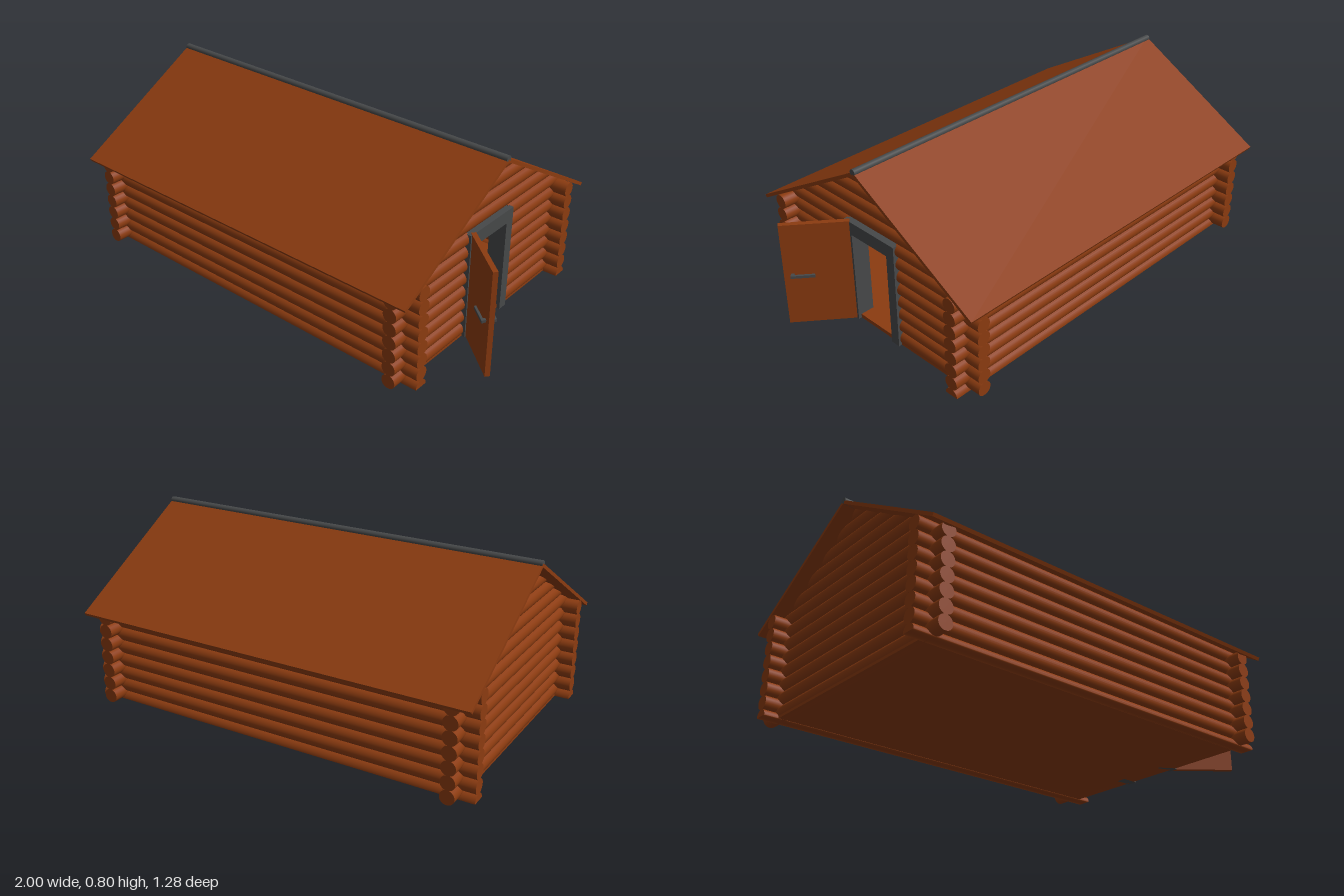
import * as THREE from 'three';

const wood = new THREE.MeshStandardMaterial({ color: 0x8b3b10 });
wood.name = 'wood';
const iron = new THREE.MeshStandardMaterial({ color: 0x464849 });
iron.name = 'darkGrey';

const STEP = 0.0617, R = 0.032;            // log spacing and radius
const X0 = -0.91, X1 = 0.74, ZW = 0.52;    // wall centre lines
const TAN = Math.tan(Math.PI / 6), UNDER = 0.77; // roof pitch and underside ridge height

function add(parent, name, geometry, material, x = 0, y = 0, z = 0) {
  const mesh = new THREE.Mesh(geometry, material);
  mesh.name = name;
  mesh.position.set(x, y, z);
  parent.add(mesh);
  return mesh;
}

// Gable log running from z = a to z = b, its ends trimmed to the roof slope
function gableLog(parent, x, y, a, b) {
  const g = new THREE.CylinderGeometry(R, R, 2, 24).rotateX(Math.PI / 2);
  const p = g.attributes.position;
  for (let i = 0; i < p.count; i++) {
    const vy = Math.min(y + p.getY(i), UNDER);
    const limit = (UNDER - vy) / TAN;
    const z = p.getZ(i) > 0 ? b : a;
    p.setXYZ(i, x + p.getX(i), Math.max(vy, 0), THREE.MathUtils.clamp(z, -limit, limit));
  }
  add(parent, 'gableLog', g, wood);
}

// Long wall log; the lowest one is cut flat at the ground
function longLog(parent, y, z) {
  const g = new THREE.CylinderGeometry(R, R, 1.832, 24).rotateZ(Math.PI / 2);
  const p = g.attributes.position;
  for (let i = 0; i < p.count; i++) p.setY(i, Math.max(p.getY(i), -y));
  add(parent, 'longWallLog', g, wood, -0.084, y, z);
}

function buildWalls(parent) {
  const walls = new THREE.Group();
  walls.name = 'logWalls';
  for (const z of [-ZW, ZW]) for (let k = 0; k < 8; k++) longLog(walls, k * STEP, z);
  for (const x of [X0, X1]) {
    for (let k = 0; k < 13; k++) {
      const y = STEP * (k + 0.5);
      const half = k < 7 ? 0.61 : 0.53;
      if (x === X1 && k < 8) {             // leave the doorway open
        gableLog(walls, x, y, -half, -0.145);
        gableLog(walls, x, y, 0.145, half);
      } else gableLog(walls, x, y, -half, half);
    }
  }
  parent.add(walls);
}

function buildRoof(parent) {
  // Chevron cross-section extruded along x
  const s = new THREE.Shape();
  s.moveTo(-0.638, 0.419);
  s.lineTo(0, 0.787);
  s.lineTo(0.638, 0.419);
  s.lineTo(0.631, 0.406);
  s.lineTo(0, UNDER);
  s.lineTo(-0.631, 0.406);
  s.closePath();
  const g = new THREE.ExtrudeGeometry(s, { depth: 1.83, bevelEnabled: false });
  g.rotateY(Math.PI / 2);
  add(parent, 'roof', g, wood, -1, 0, 0);
  const cap = new THREE.CylinderGeometry(0.0145, 0.0145, 1.83, 16).rotateZ(Math.PI / 2);
  add(parent, 'ridgeCap', cap, iron, -0.085, 0.784, 0);
}

function buildDoor(parent) {
  // Frame
  for (const z of [-0.13, 0.13])
    add(parent, 'doorPost', new THREE.BoxGeometry(0.08, 0.488, 0.045), iron, X1, 0.244, z);
  add(parent, 'doorLintel', new THREE.BoxGeometry(0.08, 0.06, 0.215), iron, X1, 0.458, 0);

  // Open leaf swinging about its hinge edge
  const door = new THREE.Group();
  door.name = 'door';
  door.position.set(0.772, 0, 0.125);
  door.rotation.y = -THREE.MathUtils.degToRad(39);
  add(door, 'doorLeaf', new THREE.BoxGeometry(0.285, 0.488, 0.022), wood, 0.1425, 0.246, 0);
  for (const side of [-1, 1]) {
    add(door, 'handle', new THREE.BoxGeometry(0.1, 0.012, 0.01), iron, 0.207, 0.247, side * 0.026);
    add(door, 'handleStem', new THREE.BoxGeometry(0.014, 0.012, 0.014), iron, 0.248, 0.247, side * 0.016);
  }
  parent.add(door);
}

export function createModel() {
  const cabin = new THREE.Group();
  cabin.name = 'logCabin';
  buildWalls(cabin);
  buildRoof(cabin);
  buildDoor(cabin);
  add(cabin, 'floor', new THREE.BoxGeometry(X1 - X0 + 0.05, 0.018, 2 * ZW + 0.05), wood, (X0 + X1) / 2, 0.009, 0);
  return cabin;
}
